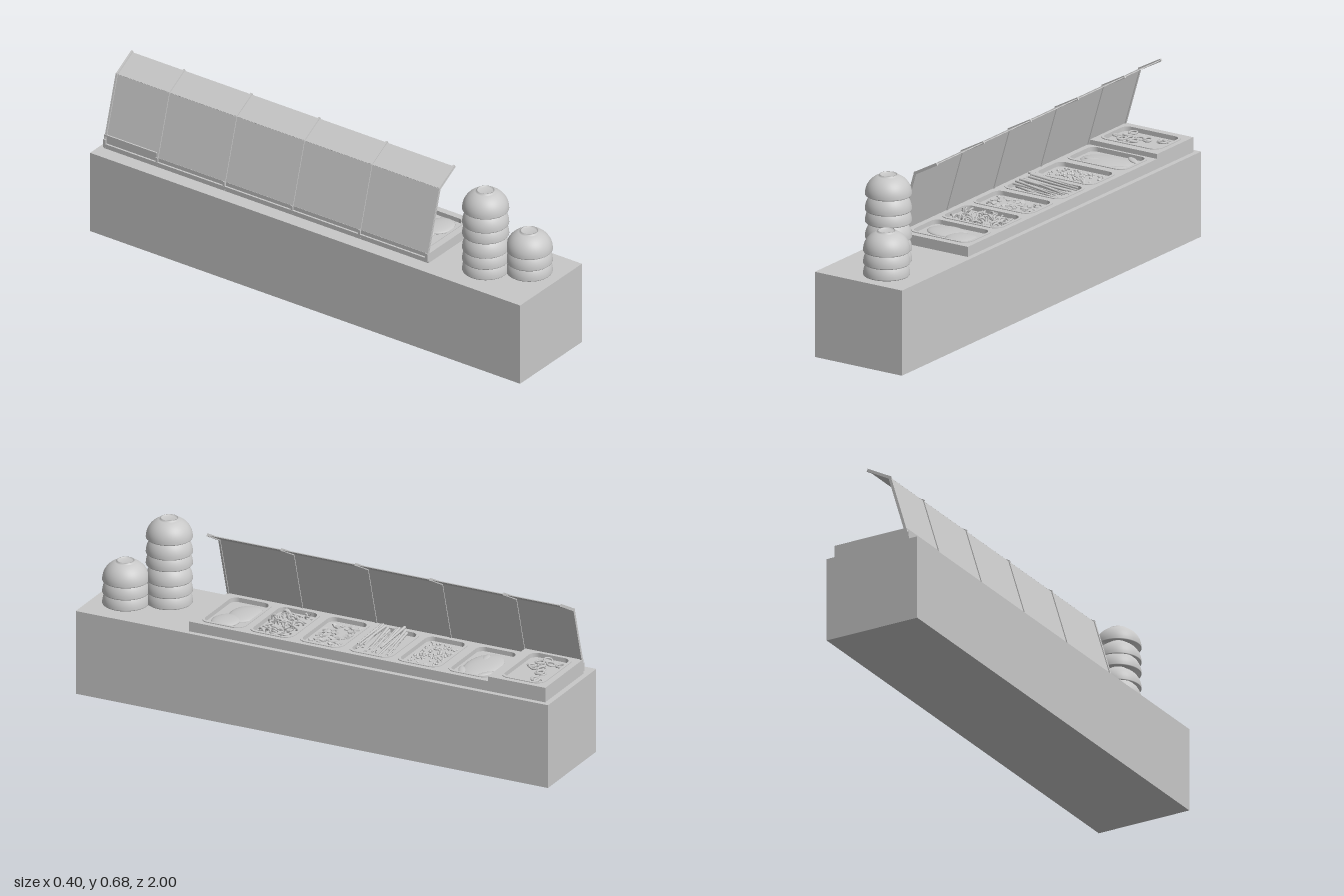
import * as THREE from 'three';

const grey = new THREE.MeshStandardMaterial({ color: 0xc8c8c8, side: THREE.DoubleSide });
grey.name = 'grey';

// small seeded generator for scattering food
function seeded(seed) {
  return () => {
    seed = (seed * 16807) % 2147483647;
    return seed / 2147483647;
  };
}

function add(parent, name, geometry, x = 0, y = 0, z = 0) {
  const mesh = new THREE.Mesh(geometry, grey);
  mesh.name = name;
  mesh.position.set(x, y, z);
  parent.add(mesh);
  return mesh;
}

// rounded rectangle in plan, centred on (x, z)
function roundedRect(Type, x, z, w, d, r) {
  const s = new Type(), a = w / 2 - r, b = d / 2 - r, y = -z;
  s.absarc(x + a, y + b, r, 0, Math.PI / 2);
  s.absarc(x - a, y + b, r, Math.PI / 2, Math.PI);
  s.absarc(x - a, y - b, r, Math.PI, Math.PI * 1.5);
  s.absarc(x + a, y - b, r, Math.PI * 1.5, Math.PI * 2);
  s.closePath();
  return s;
}

// plan shape raised from y0 to y1
function slab(shape, y0, y1) {
  const g = new THREE.ExtrudeGeometry(shape, { depth: y1 - y0, bevelEnabled: false, curveSegments: 6 });
  return g.rotateX(-Math.PI / 2).translate(0, y0, 0);
}

// straight round bar between two points
function stick(parent, name, a, b, r0, r1) {
  const dir = b.clone().sub(a), m = a.clone().add(b).multiplyScalar(0.5);
  const mesh = add(parent, name, new THREE.CylinderGeometry(r1, r0, dir.length(), 8), m.x, m.y, m.z);
  mesh.quaternion.setFromUnitVectors(new THREE.Vector3(0, 1, 0), dir.normalize());
  return mesh;
}

const PAN_X = 0.02, PAN_W = 0.275, PAN_D = 0.185, R = 0.04;
const panZ = [0.41, 0.205, -0.005, -0.215, -0.42, -0.635];

// block with pan openings
function housing(parent, name, z0, z1, top, pans) {
  const s = new THREE.Shape();
  s.moveTo(-0.138, -z0).lineTo(0.178, -z0).lineTo(0.178, -z1).lineTo(-0.138, -z1).closePath();
  for (const z of pans) s.holes.push(roundedRect(THREE.Path, PAN_X, z, PAN_W - 0.01, PAN_D - 0.01, R - 0.005));
  add(parent, name, slab(s, 0.338, top));
  for (const z of pans) {
    const rim = roundedRect(THREE.Shape, PAN_X, z, PAN_W, PAN_D, R);
    rim.holes.push(roundedRect(THREE.Path, PAN_X, z, PAN_W - 0.022, PAN_D - 0.022, R - 0.011));
    add(parent, 'panRim', slab(rim, top - 0.022, top + 0.003));
    add(parent, 'foodBed', slab(roundedRect(THREE.Shape, PAN_X, z, PAN_W - 0.012, PAN_D - 0.012, R - 0.006), 0.34, top - 0.015));
  }
}

// scatters count pieces over a pan
function scatter(parent, name, geometry, z, y, count, seed, flat = false) {
  const rnd = seeded(seed);
  for (let i = 0; i < count; i++) {
    const m = add(parent, name, geometry, PAN_X + (rnd() - 0.5) * 0.21, y + rnd() * 0.006, z + (rnd() - 0.5) * 0.125);
    if (flat) m.rotation.set((rnd() - 0.5) * 0.5, rnd() * 6, (rnd() - 0.5) * 0.5);
    else m.rotation.set(rnd() * 6, rnd() * 6, rnd() * 6);
  }
}

// one upturned bowl, rim at y = 0
function bowlGeometry() {
  const pts = [[0.084, 0.002], [0.08, 0.025], [0.066, 0.048], [0.045, 0.063], [0, 0.069]].reverse();
  const inner = pts.map(p => new THREE.Vector2(p[0], p[1]));
  const outer = [new THREE.Vector2(0.087, 0), new THREE.Vector2(0.089, 0.002)];
  for (let i = 0; i <= 10; i++) {
    const t = (i / 10) * 1.15;
    outer.push(new THREE.Vector2(0.089 * Math.cos(t) ** 0.9, 0.004 + 0.077 * Math.sin(t)));
  }
  const foot = [[0.034, 0.075], [0.034, 0.08], [0.031, 0.08], [0.029, 0.074], [0, 0.074]];
  return new THREE.LatheGeometry([...inner, ...outer, ...foot.map(p => new THREE.Vector2(...p))], 40);
}

export function createModel() {
  const model = new THREE.Group();
  model.name = 'buffetCounter';

  add(model, 'counter', new THREE.BoxGeometry(0.397, 0.338, 2), 0, 0.169, 0);

  // pan housings: a long low one and a raised one at the far end
  housing(model, 'lowHousing', -0.735, 0.53, 0.378, panZ);
  housing(model, 'raisedHousing', -0.978, -0.735, 0.397, [-0.86]);
  add(model, 'backRail', new THREE.BoxGeometry(0.008, 0.012, 1.5), -0.142, 0.356, -0.224);

  // sneeze guard: upright sheet, visor and ribs
  const guard = new THREE.Group();
  guard.name = 'sneezeGuard';
  model.add(guard);
  const profile = [[-0.136, 0.378], [-0.063, 0.625], [0.032, 0.677]];
  const z0 = -0.976, z1 = 0.53;
  for (let i = 0; i < 2; i++) {
    const [ax, ay] = profile[i], [bx, by] = profile[i + 1];
    const len = Math.hypot(bx - ax, by - ay), angle = Math.atan2(by - ay, bx - ax);
    const sheet = add(guard, i ? 'visor' : 'backSheet', new THREE.BoxGeometry(len, 0.003, z1 - z0),
      (ax + bx) / 2, (ay + by) / 2, (z0 + z1) / 2);
    sheet.rotation.z = angle;
    for (const z of [0.525, 0.212, -0.102, -0.417, -0.73, -0.972]) {
      const rib = add(guard, 'rib', new THREE.BoxGeometry(len + 0.008, 0.011, 0.008), (ax + bx) / 2, (ay + by) / 2, z);
      rib.rotation.z = angle;
      if (!i) add(guard, 'ribFoot', new THREE.BoxGeometry(0.007, 0.034, 0.01), -0.142, 0.363, z);
    }
  }

  // food
  const food = new THREE.Group();
  food.name = 'food';
  model.add(food);
  const ball = (x, y, z, rx, ry, rz) =>
    add(food, 'mound', new THREE.SphereGeometry(1, 24, 12), x, y, z).scale.set(rx, ry, rz);
  ball(0.08, 0.365, 0.425, 0.065, 0.011, 0.055);
  ball(-0.01, 0.363, 0.39, 0.085, 0.012, 0.06);
  scatter(food, 'curl', new THREE.TorusGeometry(0.014, 0.004, 6, 12, 4.4), panZ[1], 0.366, 60, 11);
  scatter(food, 'dice', new THREE.BoxGeometry(0.014, 0.006, 0.014), panZ[2], 0.362, 70, 23, true);
  scatter(food, 'grain', new THREE.IcosahedronGeometry(0.006, 0), panZ[4], 0.362, 100, 37);
  ball(0.02, 0.362, panZ[5], 0.115, 0.013, 0.07);
  for (const [x, z, turn] of [[0.11, -0.59, 0.5], [0.1, -0.69, -0.6], [-0.03, -0.62, 0.2]]) {
    const leaf = add(food, 'leaf', new THREE.SphereGeometry(1, 14, 8), x, 0.37, z);
    leaf.scale.set(0.04, 0.005, 0.014);
    leaf.rotation.y = turn;
  }
  scatter(food, 'ring', new THREE.TorusGeometry(0.016, 0.004, 6, 18).rotateX(Math.PI / 2), -0.86, 0.384, 15, 51, true);

  // two heaped bundles of tapering sticks
  const rnd = seeded(77);
  for (const zc of [-0.175, -0.245]) {
    for (let i = 0; i < 10; i++) {
      const a = i * 0.63, z = zc + Math.cos(a) * 0.022, y = 0.388 + Math.sin(a) * 0.017;
      stick(food, 'foodStick', new THREE.Vector3(-0.08 + rnd() * 0.03, y + 0.006, z),
        new THREE.Vector3(0.1 + rnd() * 0.04, y - 0.01, z + (rnd() - 0.5) * 0.04), 0.006, 0.003);
    }
  }

  // stacks of upturned bowls
  const bowl = bowlGeometry();
  const stacks = [
    [-0.047, 0.73, [0.338, 0.383, 0.431, 0.493, 0.54, 0.6]],
    [0.04, 0.87, [0.338, 0.383, 0.432]],
  ];
  for (const [x, z, rims] of stacks) {
    const stack = new THREE.Group();
    stack.name = 'bowlStack';
    for (const y of rims) add(stack, 'bowl', bowl, x, y, z);
    model.add(stack);
  }
  return model;
}
